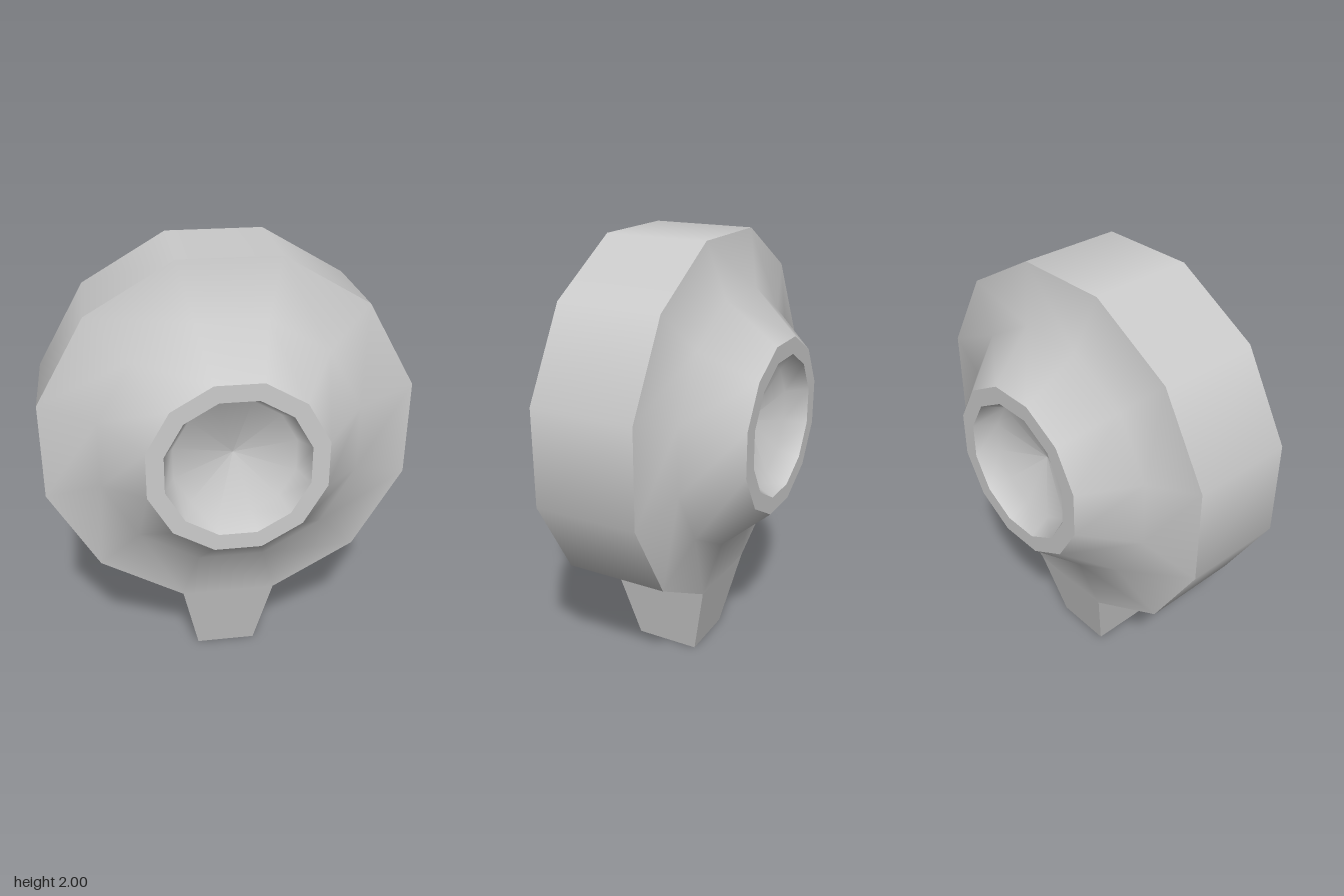
import * as THREE from 'three';

const CENTRE_Y = 1.185;
const SIDES = 12;
const CORNER = 1 / Math.cos(Math.PI / SIDES); // flat-to-flat radius -> corner radius

// Turns a [radius, z] profile around the z axis, with flats at top and bottom
function turned(name, profile, material) {
  const points = profile.map(([r, z]) => new THREE.Vector2(r * CORNER, z));
  const geometry = new THREE.LatheGeometry(points, SIDES, Math.PI / SIDES);
  geometry.rotateX(Math.PI / 2);
  const mesh = new THREE.Mesh(geometry, material);
  mesh.name = name;
  return mesh;
}

export function createModel() {
  const model = new THREE.Group();
  model.name = 'roundBodyOnFoot';
  const smooth = new THREE.MeshStandardMaterial({ color: 0xcccccc });
  const flat = new THREE.MeshStandardMaterial({ color: 0xcccccc, flatShading: true });

  // Broad outer band
  const drum = new THREE.Group();
  drum.name = 'drum';
  drum.position.y = CENTRE_Y;
  drum.add(turned('outerBand', [[0.815, -0.235], [0.815, 0.235]], smooth));

  // Matching front and back: shoulder, flat rim and dished recess
  for (const [name, angle] of [['frontFace', 0], ['backFace', Math.PI]]) {
    const face = new THREE.Group();
    face.name = name;
    face.rotation.y = angle;
    face.add(
      turned('shoulder', [[0.815, 0.235], [0.57, 0.295], [0.385, 0.51]], smooth),
      turned('rim', [[0.385, 0.51], [0.31, 0.51]], flat),
      turned('recess', [[0.31, 0.51], [0.265, 0.41], [0, 0.34]], smooth)
    );
    drum.add(face);
  }
  model.add(drum);

  // Tapered foot
  const footGeometry = new THREE.BoxGeometry(0.436, 0.37, 0.47);
  footGeometry.translate(0, 0.185, 0);
  const position = footGeometry.attributes.position;
  for (let i = 0; i < position.count; i++) {
    if (position.getY(i) < 0.1) {
      position.setX(i, Math.sign(position.getX(i)) * 0.14);
      position.setZ(i, Math.sign(position.getZ(i)) * 0.153);
    }
  }
  footGeometry.computeVertexNormals();
  const foot = new THREE.Mesh(footGeometry, flat);
  foot.name = 'foot';
  model.add(foot);

  return model;
}
